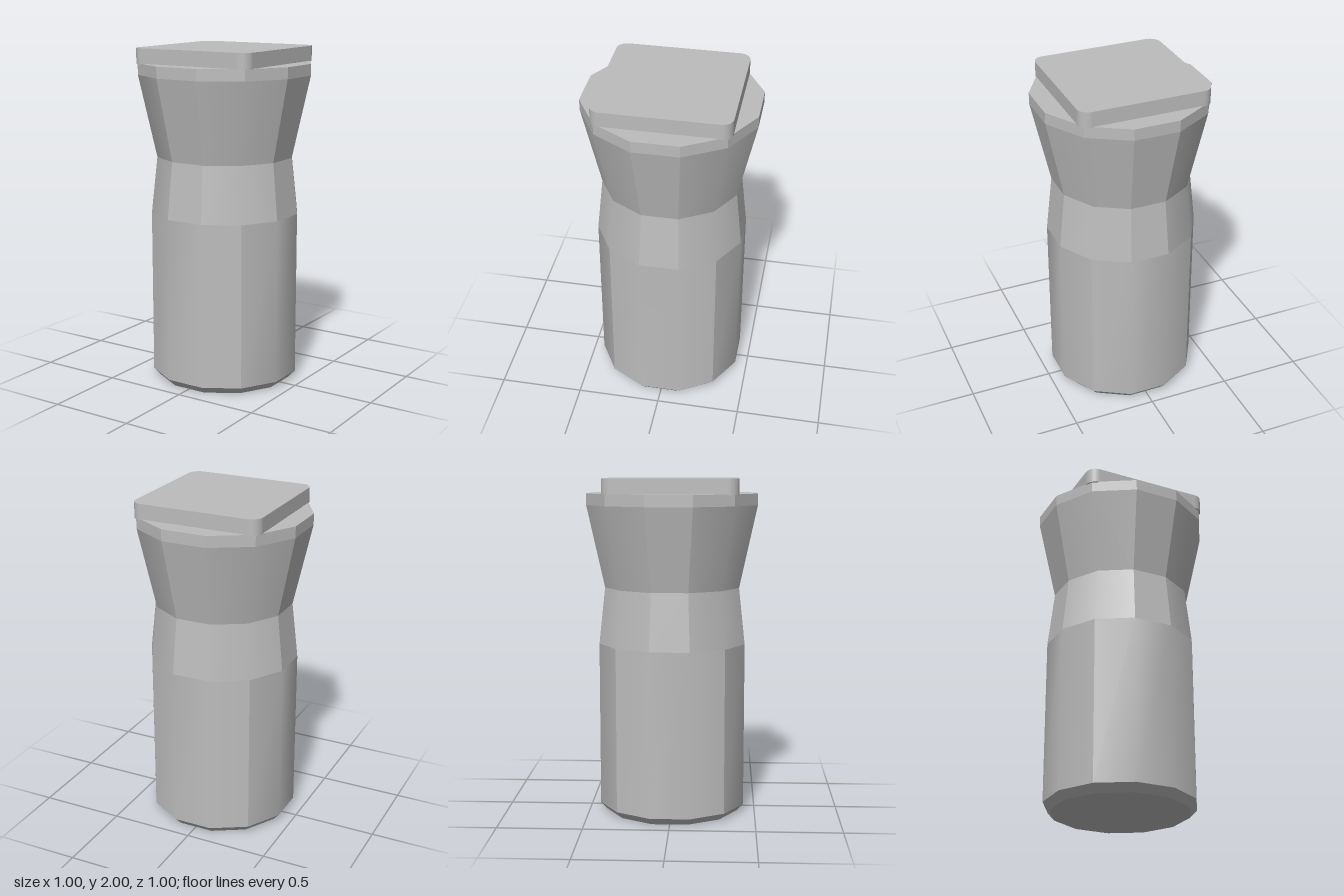
import * as THREE from 'three';
import { mergeGeometries } from 'three/addons/utils/BufferGeometryUtils.js';

const SIDES = 12;

// Corner k of a twelve-sided ring whose flat faces lie at distance r from the axis
function corner(r, y, k) {
  const a = ((k + 0.5) * 2 * Math.PI) / SIDES;
  const R = r / Math.cos(Math.PI / SIDES);
  return [R * Math.sin(a), y, R * Math.cos(a)];
}

// A run of neighbouring faces between two rings, shaded smoothly within the run
function run(y0, r0, y1, r1, start, count) {
  const pos = [], index = [];
  for (let i = 0; i <= count; i++) {
    pos.push(...corner(r0, y0, start + i), ...corner(r1, y1, start + i));
  }
  for (let i = 0; i < count; i++) {
    const a = 2 * i, b = a + 1, c = a + 2, d = a + 3;
    // Mirror the diagonals about the middle of the run
    if (i < count / 2) index.push(a, c, d, a, d, b);
    else index.push(a, c, b, c, d, b);
  }
  const g = new THREE.BufferGeometry();
  g.setAttribute('position', new THREE.Float32BufferAttribute(pos, 3));
  g.setIndex(index);
  g.computeVertexNormals();
  return g;
}

// A full band; pattern lists the smooth runs as [start, count], repeated on four sides
function band(y0, r0, y1, r1, pattern) {
  const parts = [];
  for (let q = 0; q < 4; q++) {
    for (const [s, n] of pattern) parts.push(run(y0, r0, y1, r1, s + q * 3, n));
  }
  return mergeGeometries(parts);
}

// Flat twelve-sided disc facing up or down
function disc(r, y, up) {
  const g = new THREE.CircleGeometry(r / Math.cos(Math.PI / SIDES), SIDES, Math.PI / SIDES);
  g.rotateX(up ? -Math.PI / 2 : Math.PI / 2);
  g.translate(0, y, 0);
  return g;
}

// Square slab with rounded corners
function slab(h, radius, y0, y1) {
  const s = new THREE.Shape(), c = h - radius;
  s.absarc(c, c, radius, 0, Math.PI / 2);
  s.absarc(-c, c, radius, Math.PI / 2, Math.PI);
  s.absarc(-c, -c, radius, Math.PI, Math.PI * 1.5);
  s.absarc(c, -c, radius, Math.PI * 1.5, Math.PI * 2);
  const g = new THREE.ExtrudeGeometry(s, { depth: y1 - y0, bevelEnabled: false, curveSegments: 6 });
  g.rotateX(-Math.PI / 2);
  g.translate(0, y0, 0);
  return g;
}

export function createModel() {
  const group = new THREE.Group();
  const stone = new THREE.MeshStandardMaterial({ color: 0xbcbcbc });
  stone.name = 'grey stone';
  const add = (name, geometry) => {
    const mesh = new THREE.Mesh(geometry, stone);
    mesh.name = name;
    group.add(mesh);
  };

  const flat = [[0, 1], [1, 1], [2, 1]];
  const quarters = [[1, 3]];        // creased on the diagonals
  const corners = [[0, 2], [2, 1]]; // creased beside the four main faces

  // Foot with chamfer
  add('footUnderside', disc(0.392, 0, false));
  add('footChamfer', band(0, 0.392, 0.045, 0.432, flat));

  // Shaft, narrowing waist and flared head
  add('shaft', band(0.045, 0.432, 1.025, 0.432, quarters));
  add('waist', band(1.025, 0.432, 1.36, 0.396, corners));
  add('flare', band(1.36, 0.396, 1.845, 0.5, corners));

  // Rim and the square slab on top
  add('rim', band(1.845, 0.5, 1.912, 0.5, flat));
  add('rimTop', disc(0.5, 1.912, true));
  add('capSlab', slab(0.39, 0.065, 1.908, 2));

  return group;
}
